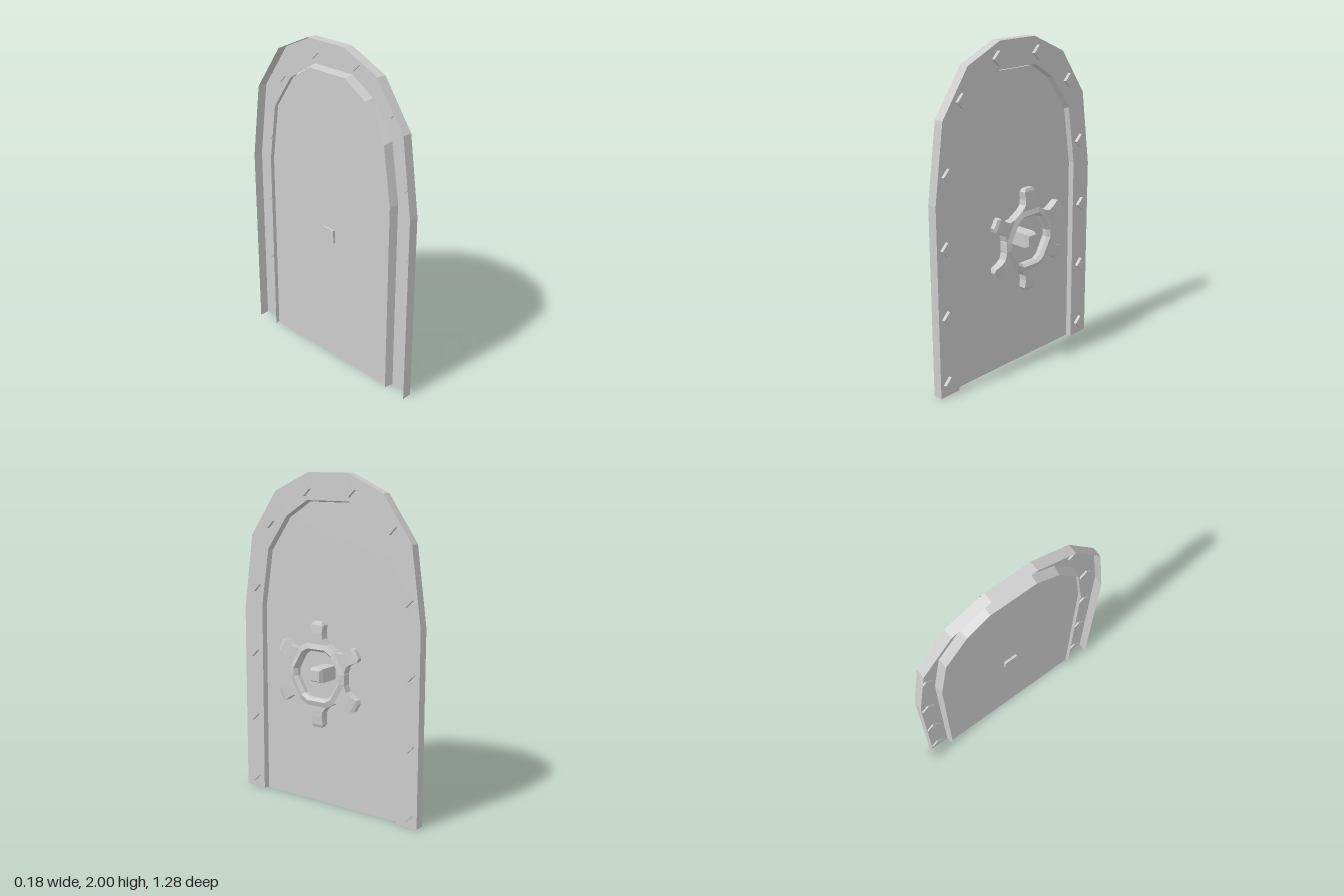
import * as THREE from 'three';

const solid = new THREE.MeshStandardMaterial({ color: 0xcccccc, flatShading: true });
const sheet = new THREE.MeshStandardMaterial({ color: 0xcccccc, flatShading: true, side: THREE.DoubleSide });

function part(name, geometry, material = solid) {
  const mesh = new THREE.Mesh(geometry, material);
  mesh.name = name;
  return mesh;
}

// Flat-shaded skin over rows of points; closed joins the ends of every row.
function loft(rows, closed = false) {
  const pos = [];
  const n = rows[0].length;
  for (let i = 0; i < rows.length - 1; i++) {
    for (let j = 0; j < (closed ? n : n - 1); j++) {
      const k = (j + 1) % n;
      const a = rows[i][j], b = rows[i][k], c = rows[i + 1][k], d = rows[i + 1][j];
      pos.push(...a, ...b, ...c, ...a, ...c, ...d);
    }
  }
  const g = new THREE.BufferGeometry();
  g.setAttribute('position', new THREE.Float32BufferAttribute(pos, 3));
  g.computeVertexNormals();
  return g;
}

// Half an arch outline, mirrored into a full one.
const arch = half => [...half, ...half.slice().reverse().map(([x, y]) => [-x, y])];
const OUTER = arch([[0.64, 0], [0.64, 1.16], [0.575, 1.62], [0.385, 1.89], [0.14, 2]]);
const INNER = arch([[0.5, 0], [0.5, 1.19], [0.446, 1.54], [0.3, 1.745], [0.147, 1.84]]);
const PANEL = arch([[0.49, 0], [0.49, 1.18], [0.437, 1.53], [0.294, 1.736], [0.145, 1.83]]);
const atDepth = (outline, z) => outline.map(([x, y]) => [x, y, z]);

const HUB_Y = 0.833;

function createWheel() {
  const wheel = new THREE.Group();
  wheel.name = 'handWheel';
  wheel.position.y = HUB_Y;

  // Rim: corners sit in pairs on both sides of each spoke
  const angles = [];
  for (let i = 0; i < 6; i++) {
    for (const s of [-1, 1]) angles.push(THREE.MathUtils.degToRad(i * 60 + s * 21.5));
  }
  const section = [[0.2, 0.02], [0.2, 0.07], [0.168, 0.08], [0.151, 0.06], [0.151, 0.035], [0.168, 0.015]];
  const rows = [...section, section[0]].map(([r, z]) =>
    angles.map(a => [r * Math.sin(a), r * Math.cos(a), z]));
  wheel.add(part('wheelRim', loft(rows, true), sheet));

  // Handles: radius, half width, back and front depth
  const cuts = [
    [0.185, 0.07, 0.02, 0.07], [0.218, 0.041, 0.02, 0.071], [0.25, 0.037, 0.02, 0.071],
    [0.298, 0.043, 0.023, 0.067], [0.317, 0.028, 0.031, 0.059], [0.317, 0, 0.045, 0.045],
  ];
  const handle = loft(cuts.map(([r, w, z0, z1]) =>
    [[-w, r, z0], [-w, r, z1], [w, r, z1], [w, r, z0]]), true);
  for (let i = 0; i < 6; i++) {
    const mesh = part('wheelHandle', handle, sheet);
    mesh.rotation.z = i * Math.PI / 3;
    wheel.add(mesh);
  }

  // Square axle with a tapered end, passing through the panel
  const square = (s, z) => [[-s, -s, z], [s, -s, z], [s, s, z], [-s, s, z]];
  wheel.add(part('axle', loft([
    square(0, -0.075), square(0.042, -0.075), square(0.042, 0.065),
    square(0.031, 0.088), square(0, 0.088),
  ], true), sheet));
  return wheel;
}

export function createModel() {
  const model = new THREE.Group();
  model.name = 'archedDoor';

  // Everything is built facing +z, then turned to face +x
  const door = new THREE.Group();
  door.name = 'door';
  door.rotation.y = Math.PI / 2;
  model.add(door);

  // Frame: a channel open at the back and bottom
  door.add(part('frame', loft([
    atDepth(OUTER, -0.09), atDepth(OUTER, -0.03), atDepth(INNER, -0.03), atDepth(PANEL, -0.085),
  ]), sheet));

  // Recessed panel
  const shape = new THREE.Shape(PANEL.map(([x, y]) => new THREE.Vector2(x, y)));
  const panel = part('panel', new THREE.ShapeGeometry(shape), sheet);
  panel.position.z = -0.06;
  door.add(panel);

  // Diamond studs
  const studGeometry = new THREE.BoxGeometry(0.061, 0.061, 0.03);
  const studs = [[0.575, 0.08], [0.575, 0.49], [0.573, 0.903], [0.55, 1.318], [0.437, 1.71], [0.16, 1.906]];
  for (const side of [-1, 1]) {
    for (const [x, y] of studs) {
      const stud = part('stud', studGeometry);
      stud.position.set(side * x, y, -0.025);
      stud.rotation.z = Math.PI / 4;
      door.add(stud);
    }
  }

  door.add(createWheel());
  return model;
}
